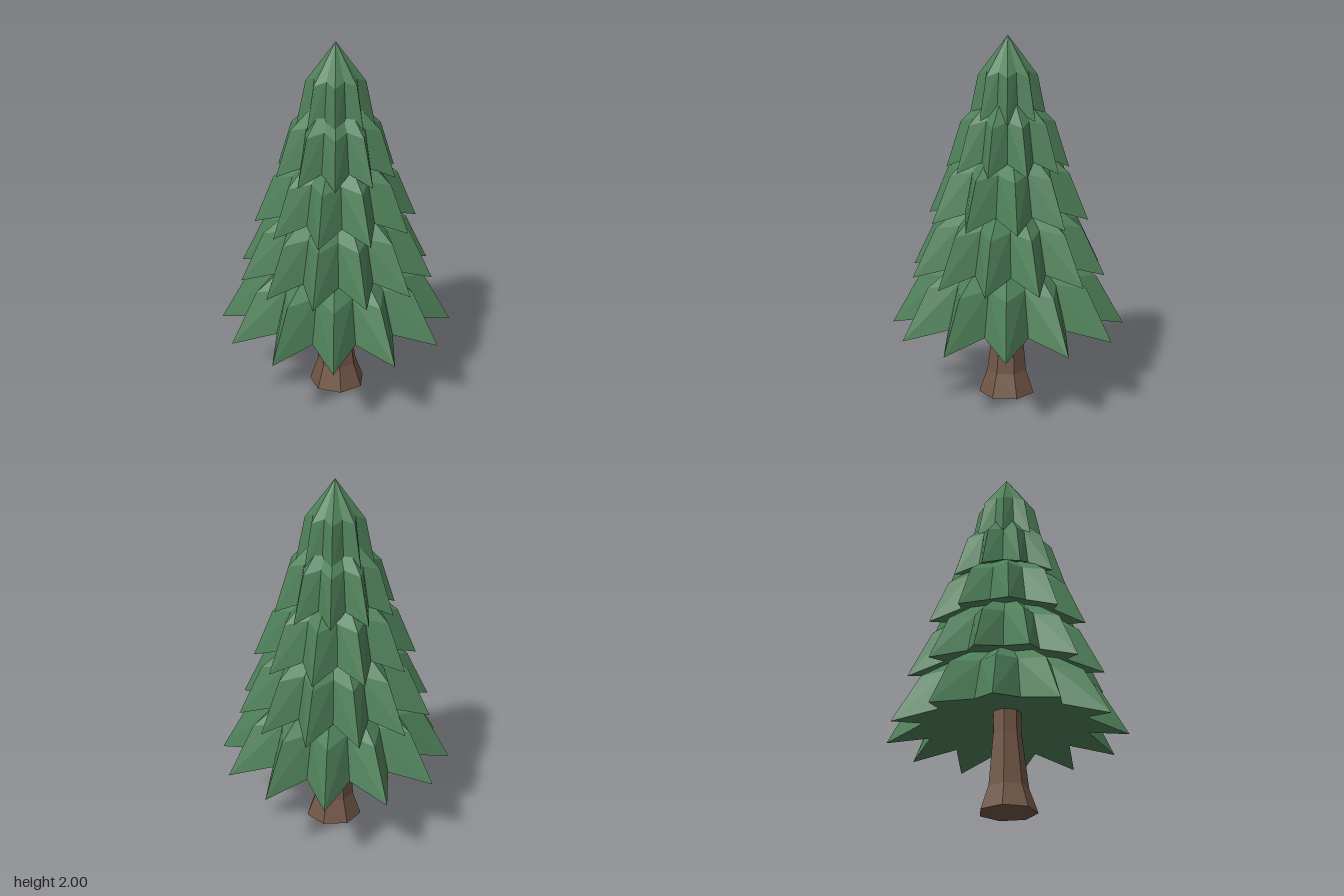
import * as THREE from 'three';

const green = new THREE.MeshStandardMaterial({ color: 0x4f8059, flatShading: true });
green.name = 'needle green';
const brown = new THREE.MeshStandardMaterial({ color: 0x705645, flatShading: true });
brown.name = 'bark brown';

// Faceted skin through rings of points listed from top to bottom
function loft(name, rings, material) {
  const n = rings[0].length;
  const pos = [];
  const tri = (a, b, c) => {
    if (a.equals(b) || b.equals(c) || a.equals(c)) return;
    for (const p of [a, b, c]) pos.push(p.x, p.y, p.z);
  };
  for (let r = 0; r < rings.length - 1; r++) {
    for (let i = 0; i < n; i++) {
      const j = (i + 1) % n;
      const [u0, u1, l0, l1] = [rings[r][i], rings[r][j], rings[r + 1][i], rings[r + 1][j]];
      // mirror the diagonal on every other quad so each branch is symmetric
      if (i % 2 === 0) { tri(u0, u1, l0); tri(u1, l1, l0); }
      else { tri(u0, u1, l1); tri(u0, l1, l0); }
    }
  }
  const geo = new THREE.BufferGeometry();
  geo.setAttribute('position', new THREE.Float32BufferAttribute(pos, 3));
  geo.computeVertexNormals();
  const mesh = new THREE.Mesh(geo, material);
  mesh.name = name;
  return mesh;
}

// Ring of n points; even points use (r, y), odd points use (r2, y2)
function ring(n, phase, r, y, r2 = r, y2 = y, cx = 0) {
  return Array.from({ length: n }, (_, i) => {
    const a = phase + (i / n) * Math.PI * 2;
    const rad = i % 2 ? r2 : r;
    return new THREE.Vector3(cx + rad * Math.cos(a), i % 2 ? y2 : y, rad * Math.sin(a));
  });
}

// Star-shaped skirt of drooping branches
function branchTier({ points, phase, r, y, shoulder, apex }) {
  const n = points * 2;
  const a = THREE.MathUtils.degToRad(phase);
  return [
    ring(n, a, 0, apex),
    ring(n, a, r * 0.76, shoulder, r * 0.57, shoulder + 0.025),
    ring(n, a, r, y, r * 0.69, y + 0.06),
    ring(n, a, 0, y + 0.16),
  ];
}

export function createModel() {
  const tree = new THREE.Group();
  tree.name = 'pineTree';

  // Seven-sided trunk flaring at the foot
  tree.add(loft('trunk', [
    ring(7, 0, 0, 0.6),
    ring(7, 0, 0.078, 0.6),
    ring(7, 0, 0.08, 0.42),
    ring(7, 0, 0.112, 0.13, 0.112, 0.13, 0.008),
    ring(7, 0, 0.158, 0, 0.158, 0, 0.01),
    ring(7, 0, 0, 0, 0, 0, 0.01),
  ], brown));

  // Five tiers from bottom to top, each turned a little
  const tiers = [
    { points: 12, phase: 0, r: 0.645, y: 0.4, shoulder: 0.675, apex: 1.0 },
    { points: 12, phase: 11.6, r: 0.54, y: 0.71, shoulder: 0.975, apex: 1.28 },
    { points: 10, phase: -1.3, r: 0.444, y: 1.015, shoulder: 1.27, apex: 1.55 },
    { points: 10, phase: 23.4, r: 0.333, y: 1.29, shoulder: 1.54, apex: 1.79 },
    { points: 8, phase: 15, r: 0.21, y: 1.55, shoulder: 1.79, apex: 2.0 },
  ];
  tiers.forEach((t, i) => tree.add(loft(`branchTier${i + 1}`, branchTier(t), green)));

  return tree;
}
